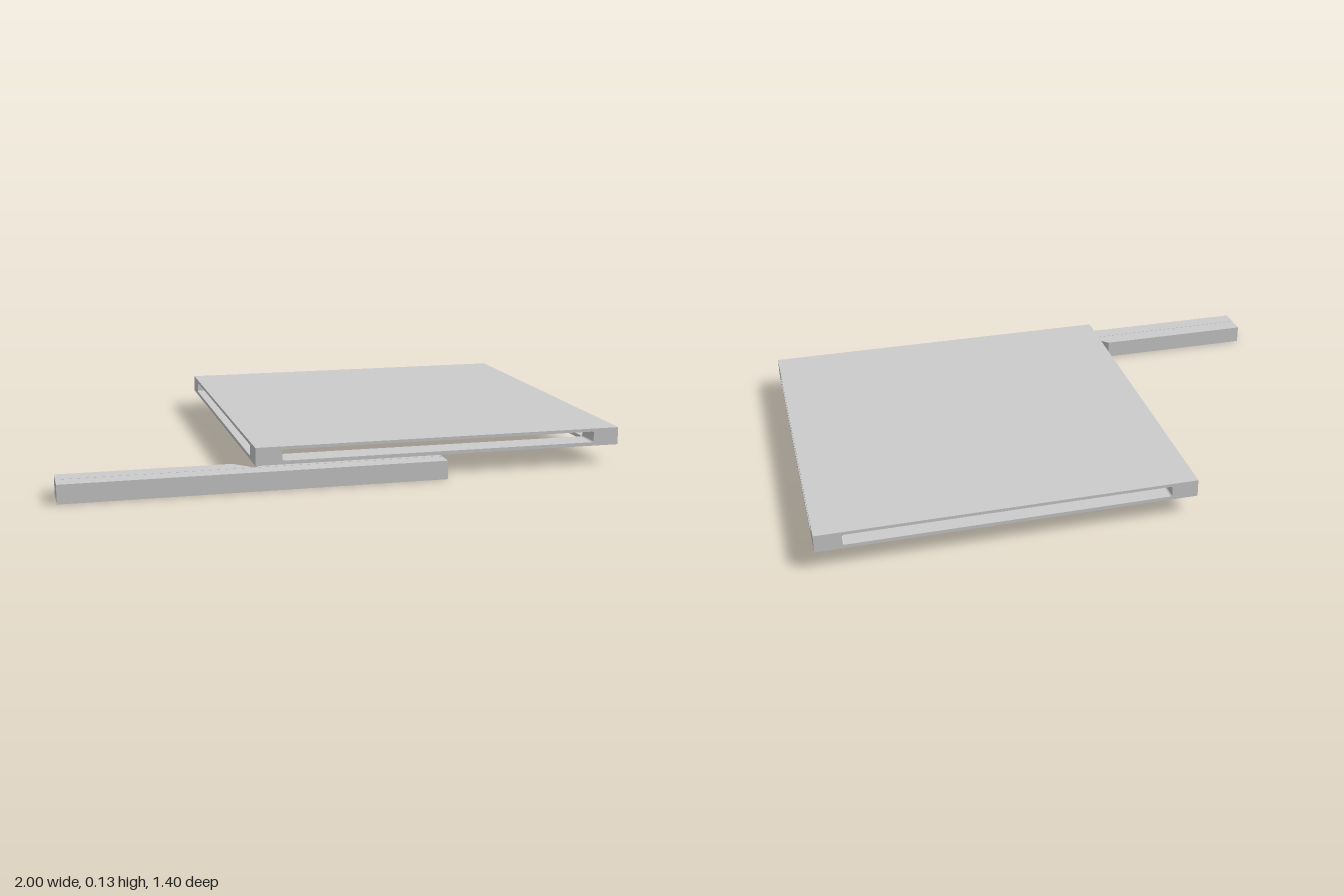
import * as THREE from 'three';

const material = new THREE.MeshStandardMaterial({ color: 0xcccccc });

// Slab extents
const X0 = -0.333, X1 = 0.998, Z0 = -0.7, Z1 = 0.632;
const Y0 = 0.07, FLOOR = 0.083, ROOF = 0.122, Y1 = 0.133;
const POST = 0.094, FILLET = 0.007;

function add(group, name, geometry, x = 0, y = 0, z = 0) {
  const mesh = new THREE.Mesh(geometry, material);
  mesh.name = name;
  mesh.position.set(x, y, z);
  group.add(mesh);
}

// Box given by its minimum and maximum corners
function addBox(group, name, a, b) {
  add(group, name, new THREE.BoxGeometry(b[0] - a[0], b[1] - a[1], b[2] - a[2]),
    (a[0] + b[0]) / 2, (a[1] + b[1]) / 2, (a[2] + b[2]) / 2);
}

// Flat plan outline in (x, z), raised from y0 to y1
function plan(shape, y0, y1) {
  return new THREE.ExtrudeGeometry(shape, { depth: y1 - y0, bevelEnabled: false })
    .rotateX(Math.PI / 2).translate(0, y1, 0);
}

function outline(points, Type = THREE.Shape) {
  return new Type(points.map(([x, z]) => new THREE.Vector2(x, z)));
}

const rect = (x0, z0, x1, z1) => [[x0, z0], [x1, z0], [x1, z1], [x0, z1]];

// Corner post whose two inner faces flare into the floor and roof, rounding the slot ends
function cornerPost(sx, sz) {
  const h = ROOF - FLOOR;
  const geometry = new THREE.BoxGeometry(POST, h, POST, 1, 24, 1);
  const p = geometry.attributes.position;
  for (let i = 0; i < p.count; i++) {
    const edge = h / 2 - Math.abs(p.getY(i));
    const t = THREE.MathUtils.clamp(1 - edge / FILLET, 0, 1);
    const flare = FILLET * (1 - Math.sqrt(1 - t * t));
    if (p.getX(i) * sx < 0) p.setX(i, p.getX(i) - sx * flare);
    if (p.getZ(i) * sz < 0) p.setZ(i, p.getZ(i) - sz * flare);
  }
  geometry.computeVertexNormals();
  return geometry;
}

export function createModel() {
  const model = new THREE.Group();
  model.name = 'slottedPanelAndBars';

  // Slab: thin top sheet, open lower frame and four corner posts
  const slab = new THREE.Group();
  slab.name = 'slab';
  model.add(slab);
  addBox(slab, 'topSheet', [X0, ROOF, Z0], [X1, Y1, Z1]);

  const frame = outline(rect(X0, Z0, X1, Z1));
  frame.holes.push(outline(rect(X0 + POST, Z0 + POST, X1 - POST, Z1 - POST), THREE.Path));
  add(slab, 'lowerFrame', plan(frame, Y0, FLOOR));

  for (const sx of [-1, 1]) for (const sz of [-1, 1]) {
    add(slab, 'cornerPost', cornerPost(sx, sz),
      sx < 0 ? X0 + POST / 2 : X1 - POST / 2, (FLOOR + ROOF) / 2,
      sz < 0 ? Z0 + POST / 2 : Z1 - POST / 2);
  }

  // Straight front bar
  addBox(model, 'frontBar', [-1, 0, 0.636], [0.33, 0.066, 0.7]);

  // Rear bar, cut by a V notch at its middle into two mitred halves
  const mid = -0.335, back = 0.568, front = 0.634, cut = front - back;
  for (const [name, s] of [['outerMitredBar', -1], ['innerMitredBar', 1]]) {
    const end = mid + s * 0.665;
    add(model, name, plan(outline([
      [mid, front], [end, front], [end, back], [mid + s * cut, back],
    ]), 0, 0.066));
  }
  return model;
}
